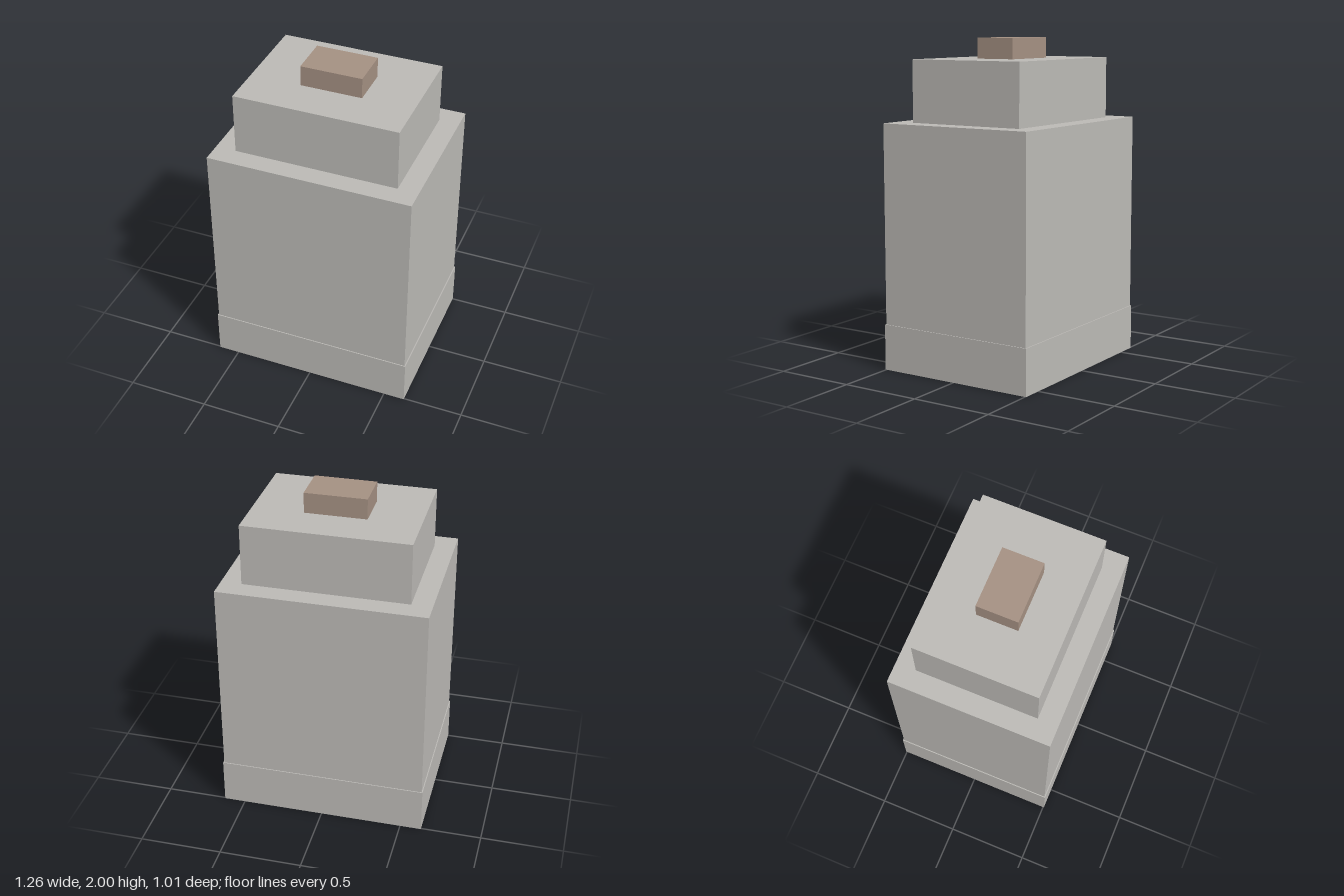
import * as THREE from 'three';

export function createModel() {
  const model = new THREE.Group();
  const grey = new THREE.MeshStandardMaterial({ color: 0xbbb9b5 });
  grey.name = 'warm grey';
  grey.side = THREE.DoubleSide;
  const brown = new THREE.MeshStandardMaterial({ color: 0xa49082 });
  brown.name = 'dusty brown';

  // Box standing on y0, centred on x and z
  function block(name, w, d, y0, y1, material) {
    const geometry = new THREE.BoxGeometry(w, y1 - y0, d);
    geometry.translate(0, (y0 + y1) / 2, 0);
    const mesh = new THREE.Mesh(geometry, material);
    mesh.name = name;
    model.add(mesh);
    return mesh;
  }

  // Stacked blocks
  block('body', 1.25, 1, 0.281, 1.5, grey);
  block('shoulder', 1, 0.75, 1.5, 1.875, grey);
  block('cap', 0.375, 0.25, 1.875, 2, brown);

  // Thin skirt around the foot, open underneath (the box's bottom face is dropped)
  const skirt = block('skirt', 1.262, 1.012, 0, 0.281, grey).geometry;
  const index = Array.from(skirt.index.array);
  index.splice(18, 6);
  skirt.setIndex(index);
  skirt.clearGroups();

  return model;
}
